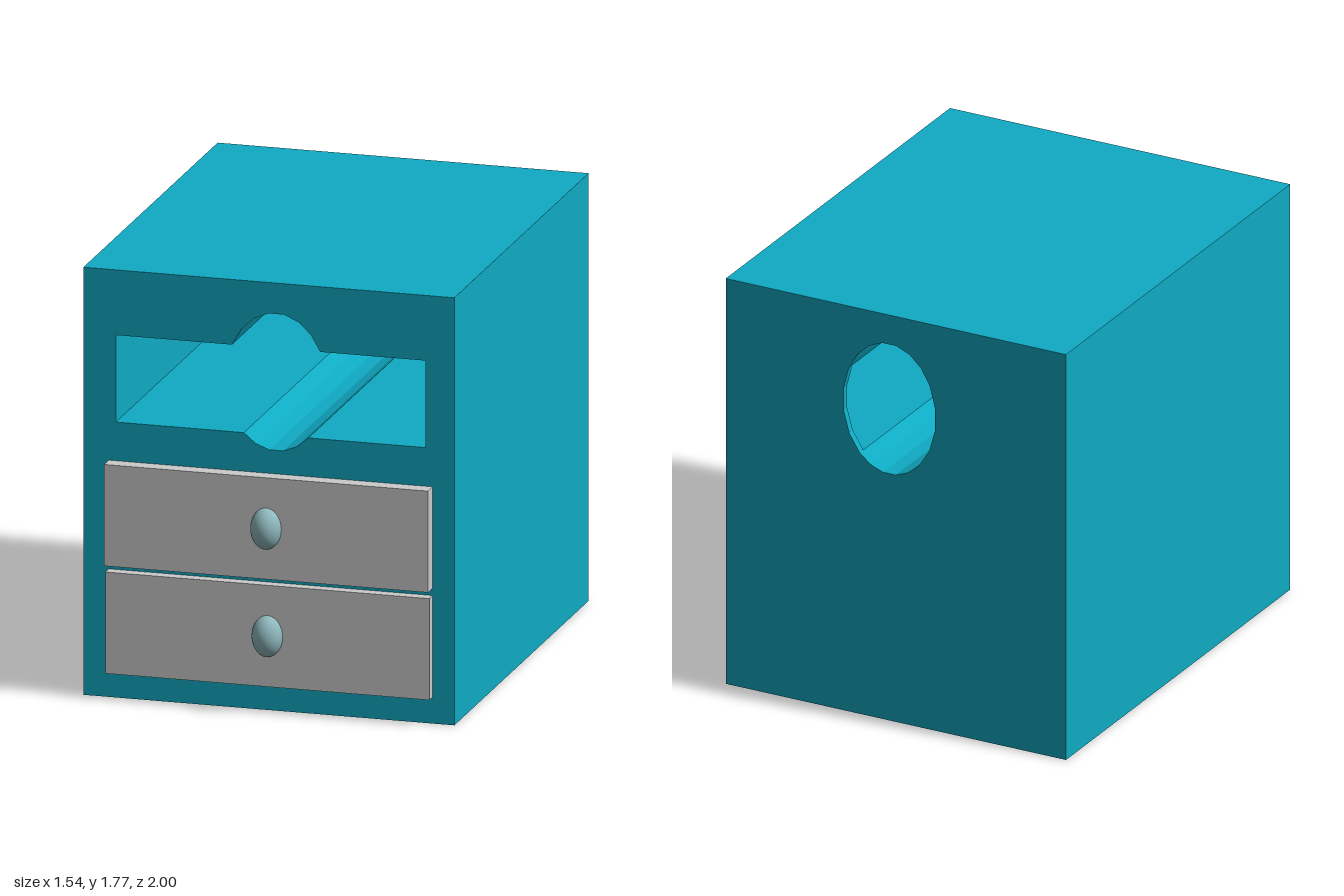
import * as THREE from 'three';
import { mergeGeometries } from 'three/addons/utils/BufferGeometryUtils.js';

const W = 0.77, H = 1.77, BACK = -1, FRONT = 0.87, INNER_BACK = -0.97;
// compartment opening and the oval that cuts through it
const L = -0.635, R = 0.65, LOW = 1.14, HIGH = 1.5;
const CX = 0.03, CY = 1.36, RX = 0.21, RY = 0.285;

const pt = (x, y) => new THREE.Vector2(x, y);

// arc of the oval, end points included
function arc(a, b, n) {
  return Array.from({ length: n + 1 }, (_, i) => {
    const t = a + (b - a) * i / n;
    return pt(CX + RX * Math.cos(t), CY + RY * Math.sin(t));
  });
}

// flat panel facing +z, or -z when back is set
function panel(points, hole, z, back = false) {
  const side = list => back ? list.map(p => pt(-p.x, p.y)) : list;
  const shape = new THREE.Shape(side(points));
  if (hole) shape.holes.push(new THREE.Path(side(hole)));
  const g = new THREE.ShapeGeometry(shape).toNonIndexed();
  if (back) g.rotateY(Math.PI);
  g.translate(0, 0, z);
  g.deleteAttribute('uv');
  return g;
}

// walls along a closed outline; counter-clockwise faces outward
function walls(points, z0, z1) {
  const v = [];
  points.forEach((a, i) => {
    const b = points[(i + 1) % points.length];
    v.push(a.x, a.y, z0, b.x, b.y, z0, b.x, b.y, z1);
    v.push(a.x, a.y, z0, b.x, b.y, z1, a.x, a.y, z1);
  });
  const g = new THREE.BufferGeometry();
  g.setAttribute('position', new THREE.Float32BufferAttribute(v, 3));
  g.computeVertexNormals();
  return g;
}

function cabinetGeometry() {
  const up = Math.asin((HIGH - CY) / RY), down = Math.asin((LOW - CY) / RY);
  const right = arc(down, up, 4);
  const top = arc(up, Math.PI - up, 7);
  const left = arc(Math.PI - up, Math.PI - down, 4);
  const bottom = arc(Math.PI - down, 2 * Math.PI + down, 5);

  const outer = [pt(-W, 0), pt(W, 0), pt(W, H), pt(-W, H)];
  const oval = [right, top, left, bottom].flatMap(a => a.slice(0, -1));
  const opening = [...bottom, pt(R, LOW), pt(R, HIGH), ...top, pt(L, HIGH), pt(L, LOW)];

  return mergeGeometries([
    walls(outer, BACK, FRONT),
    panel(outer, opening, FRONT),
    panel(outer, oval, BACK, true),
    // compartment lining, rim of the rear hole, inside of the rear wall
    walls([...opening].reverse(), INNER_BACK, FRONT),
    walls([...oval].reverse(), BACK, INNER_BACK),
    panel([...right, pt(R, HIGH), pt(R, LOW)], null, INNER_BACK),
    panel([...left, pt(L, LOW), pt(L, HIGH)], null, INNER_BACK),
  ]);
}

export function createModel() {
  const model = new THREE.Group();
  const teal = new THREE.MeshStandardMaterial({ color: 0x0faac3 });
  const grey = new THREE.MeshStandardMaterial({ color: 0xcccccc });
  const knobColor = new THREE.MeshStandardMaterial({ color: 0x8fb9be });

  const cabinet = new THREE.Mesh(cabinetGeometry(), teal);
  cabinet.name = 'cabinet';
  model.add(cabinet);

  // drawers, the upper one standing out slightly further
  const drawers = [
    { name: 'lowerDrawer', y: 0.32, face: 0.917 },
    { name: 'upperDrawer', y: 0.77, face: 0.935 },
  ];
  for (const { name, y, face } of drawers) {
    const drawer = new THREE.Group();
    drawer.name = name;
    const depth = face - FRONT;
    const front = new THREE.Mesh(new THREE.BoxGeometry(1.345, 0.42, depth), grey);
    front.name = 'drawerFront';
    front.position.set(0.0075, y, FRONT + depth / 2);
    const knob = new THREE.Mesh(new THREE.SphereGeometry(1, 32, 20), knobColor);
    knob.name = 'knob';
    knob.scale.set(0.063, 0.085, 0.065);
    knob.position.set(0.008, y, face);
    drawer.add(front, knob);
    model.add(drawer);
  }
  return model;
}
